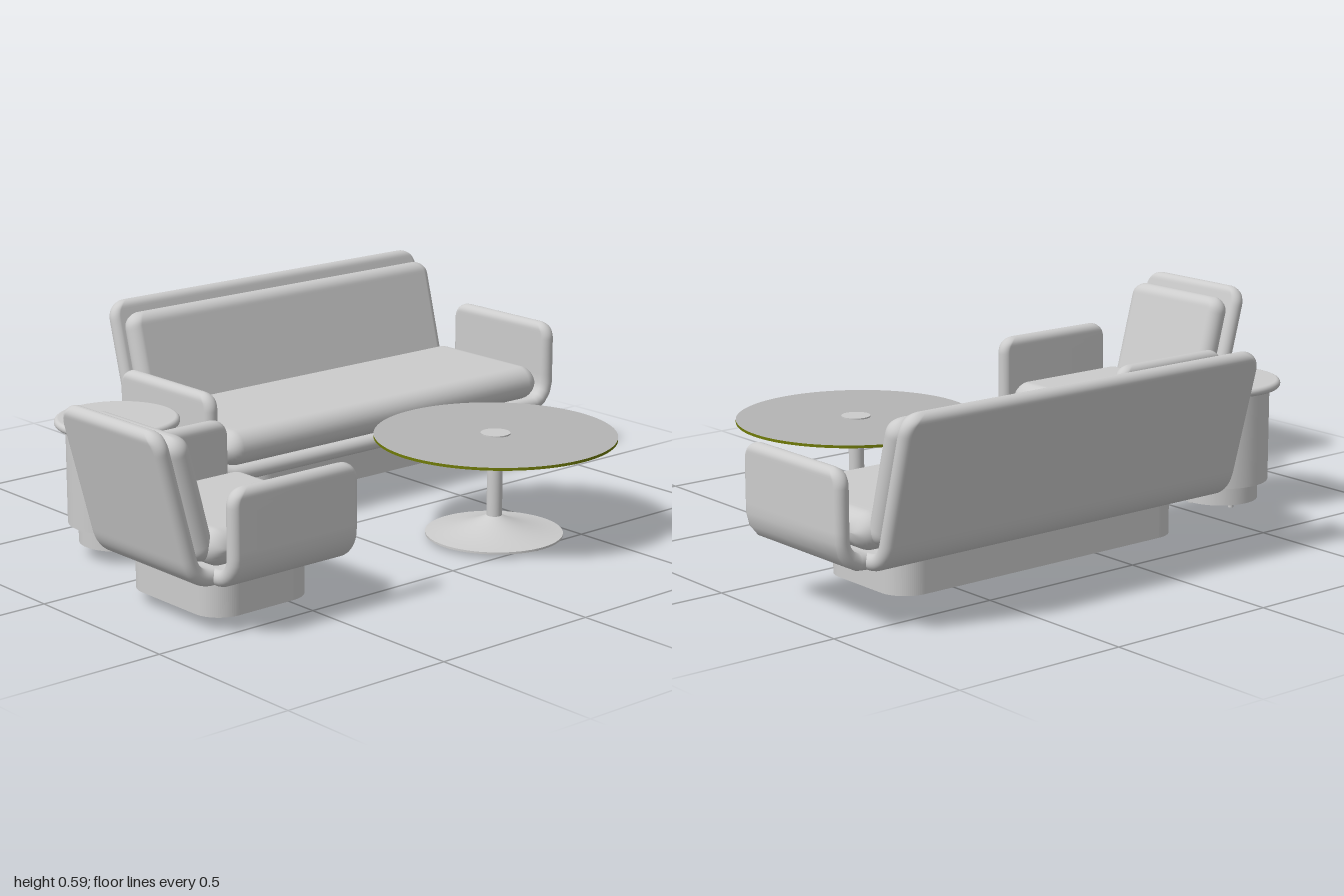
import * as THREE from 'three';

const grey = new THREE.MeshStandardMaterial({ color: 0xcccccc });
grey.name = 'light grey';
const glass = new THREE.MeshStandardMaterial({ color: 0xb4b4b4 });
glass.name = 'glass grey';
const olive = new THREE.MeshStandardMaterial({ color: 0x6f7a08 });
olive.name = 'olive edge';

function add(parent, name, geometry, material = grey, x = 0, y = 0, z = 0) {
  const mesh = new THREE.Mesh(geometry, material);
  mesh.name = name;
  mesh.position.set(x, y, z);
  parent.add(mesh);
  return mesh;
}

// Padded slab with round edges, swept along a path in the xy plane; width runs along z
function slab(path, width, thick, corner) {
  const len = path.getLength(), half = thick / 2, ring = 28, dist = [];
  for (let i = 0; i <= 12; i++) dist.push(corner * (1 - Math.cos((i / 12) * Math.PI / 2)));
  const ends = dist.map((d) => len - d).reverse();
  for (let i = 1; i < 60; i++) dist.push(corner + (len - 2 * corner) * i / 60);
  dist.push(...ends);

  const pos = [], index = [];
  dist.forEach((s, i) => {
    const u = Math.min(1, Math.max(0, s / len));
    const p = path.getPointAt(u), t = path.getTangentAt(u);
    const d = Math.max(0, Math.min(s, len - s));
    const a = Math.max(0, corner - d), b = Math.max(0, 1 - d / half);
    const h = width / 2 - corner + Math.sqrt(Math.max(0, corner * corner - a * a));
    const n = half * Math.sqrt(Math.max(0, 1 - b * b));
    for (let j = 0; j < ring; j++) {
      const q = ((j + 0.5) / ring) * Math.PI * 2;
      const c = Math.cos(q), o = Math.sin(q) * n;
      pos.push(p.x - t.y * o, p.y + t.x * o, Math.sign(c) * (h - half) + c * half);
      if (i < dist.length - 1) {
        const k = (j + 1) % ring, r0 = i * ring, r1 = r0 + ring;
        index.push(r0 + j, r1 + j, r0 + k, r1 + j, r1 + k, r0 + k);
      }
    }
  });
  const g = new THREE.BufferGeometry();
  g.setAttribute('position', new THREE.Float32BufferAttribute(pos, 3));
  g.setIndex(index);
  g.computeVertexNormals();
  return g;
}

const line = (x0, y0, x1, y1) => new THREE.Path().moveTo(x0, y0).lineTo(x1, y1);

// Upright block with rounded corners in plan
function plinth(w, d, h, r) {
  const x = w / 2, y = d / 2, s = new THREE.Shape();
  s.absarc(x - r, y - r, r, 0, Math.PI / 2);
  s.absarc(r - x, y - r, r, Math.PI / 2, Math.PI);
  s.absarc(r - x, r - y, r, Math.PI, Math.PI * 1.5);
  s.absarc(x - r, r - y, r, Math.PI * 1.5, Math.PI * 2);
  s.closePath();
  return new THREE.ExtrudeGeometry(s, { depth: h, bevelEnabled: false, curveSegments: 12 }).rotateX(-Math.PI / 2);
}

// Upholstered seat: front edge at z = 0, underside of the shell at y = 0
function lounge(name, width, baseWidth) {
  const g = new THREE.Group();
  g.name = name;
  const t = 0.045, m = t / 2, x = width / 2 - m, r = 0.065, top = 0.273;

  // arms and seat pan in one U
  const u = new THREE.Path();
  u.moveTo(-x, top);
  u.lineTo(-x, m + r);
  u.absarc(r - x, m + r, r, Math.PI, Math.PI * 1.5);
  u.lineTo(x - r, m);
  u.absarc(x - r, m + r, r, Math.PI * 1.5, Math.PI * 2);
  u.lineTo(x, top);
  add(g, 'armShell', slab(u, 0.417, t, 0.05), grey, 0, 0, -0.2085);

  // leaning back panel that curves out of the seat pan
  const b = new THREE.Path();
  b.moveTo(0.33, m);
  b.lineTo(0.405, m);
  b.quadraticCurveTo(0.465, m, 0.481, 0.081);
  b.lineTo(0.575, 0.429);
  add(g, 'backPanel', slab(b, width - 0.167, t, 0.055).rotateY(Math.PI / 2));

  // cushions
  add(g, 'backCushion', slab(line(0.416, 0.06, 0.508, 0.402), width - 0.19, 0.068, 0.045).rotateY(Math.PI / 2));
  const c = width / 2 - 0.069;
  add(g, 'seatCushion', slab(line(-c, 0.096, c, 0.096), 0.44, 0.102, 0.052), grey, 0, 0, -0.21);

  add(g, 'plinth', plinth(baseWidth, 0.34, 0.11, 0.08), grey, 0, -0.097, -0.235);
  return g;
}

const disc = (r, h, seg = 64) => new THREE.CylinderGeometry(r, r, h, seg);

// Four small feet spaced round a circle
function feet(parent, radius, turn, y, h) {
  for (let i = 0; i < 4; i++) {
    const a = turn + i * Math.PI / 2;
    add(parent, 'foot', disc(0.008, h, 12), grey, Math.cos(a) * radius, y, Math.sin(a) * radius);
  }
}

function coffeeTable() {
  const g = new THREE.Group();
  g.name = 'coffeeTable';
  add(g, 'tabletop', disc(0.342, 0.008, 96), [olive, glass, glass], 0, 0.299, 0);
  add(g, 'topCap', disc(0.042, 0.005), grey, 0, 0.3045, 0);
  add(g, 'topFlange', disc(0.042, 0.005), grey, 0, 0.2935, 0);
  add(g, 'stem', disc(0.022, 0.24, 32), grey, 0, 0.175, 0);
  // trumpet foot
  const curve = new THREE.QuadraticBezierCurve(
    new THREE.Vector2(0.195, 0.017), new THREE.Vector2(0.09, 0.028), new THREE.Vector2(0.022, 0.066));
  add(g, 'trumpetBase', new THREE.LatheGeometry(curve.getPoints(16), 64));
  add(g, 'baseRim', disc(0.195, 0.006), grey, 0, 0.014, 0);
  feet(g, 0.165, 0, 0.006, 0.012);
  return g;
}

function sideTable() {
  const g = new THREE.Group();
  g.name = 'sideTable';
  // rounded lid
  const p = [new THREE.Vector2(0, 0.367)];
  for (let i = 0; i <= 10; i++) {
    const a = -Math.PI / 2 + (i / 10) * Math.PI;
    p.push(new THREE.Vector2(0.161 + 0.012 * Math.cos(a), 0.379 + 0.012 * Math.sin(a)));
  }
  p.push(new THREE.Vector2(0, 0.391));
  add(g, 'lid', new THREE.LatheGeometry(p, 64));
  add(g, 'drum', disc(0.142, 0.278), grey, 0, 0.233, 0);
  add(g, 'drumBase', disc(0.113, 0.06), grey, 0, 0.067, 0);
  feet(g, 0.087, 0.34, 0.032, 0.014);
  return g;
}

export function createModel() {
  const model = new THREE.Group();
  model.name = 'loungeSet';

  const sofa = lounge('sofa', 1.363, 0.968);
  sofa.position.set(0.316, 0.16, -0.105);

  const chair = lounge('armchair', 0.58, 0.386);
  chair.rotation.y = Math.PI / 2;
  chair.position.set(-0.406, 0.133, 0.29);

  const coffee = coffeeTable();
  coffee.position.set(0.295, 0, 0.355);

  const side = sideTable();
  side.position.set(-0.588, 0, -0.225);

  model.add(sofa, chair, coffee, side);
  return model;
}
